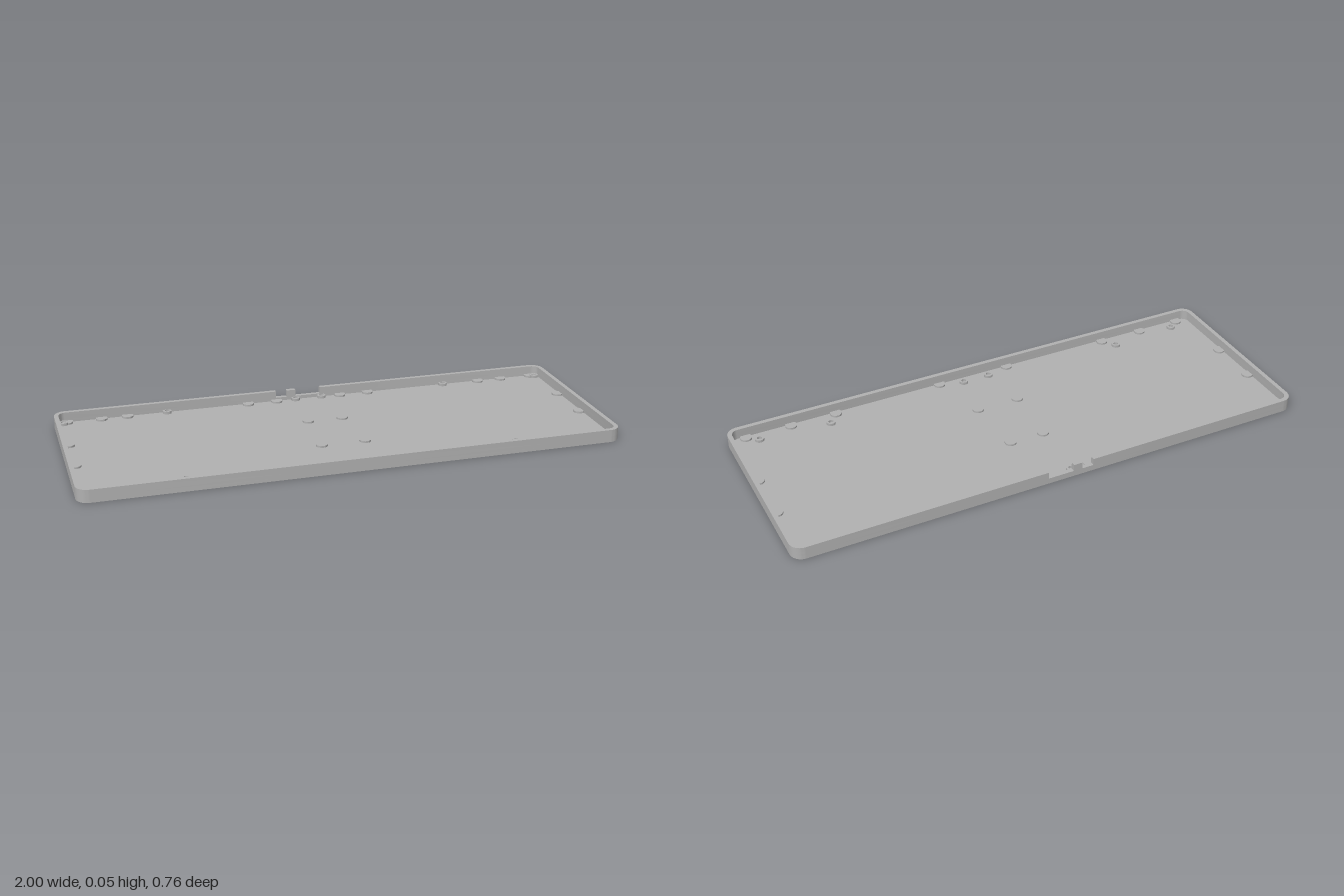
import * as THREE from 'three';
import { toCreasedNormals } from 'three/addons/utils/BufferGeometryUtils.js';

const W = 1, D = 0.38, H = 0.048;          // half width, half depth, height
const FLOOR = 0.009, SILL = 0.022;         // floor top, bottom of the back cutouts
const WALL = 0.017, RADIUS = 0.045;

// Rounded rectangle points, counter-clockwise, from the back edge at x = from to x = to
function outline(inset, from, to) {
  const r = RADIUS - inset, cx = W - RADIUS, cy = D - RADIUS;
  const points = [new THREE.Vector2(from, D - inset)];
  [[-cx, cy], [-cx, -cy], [cx, -cy], [cx, cy]].forEach(([x, y], corner) => {
    for (let i = 0; i <= 10; i++) {
      const a = (corner + 1 + i / 10) * Math.PI / 2;
      points.push(new THREE.Vector2(x + r * Math.cos(a), y + r * Math.sin(a)));
    }
  });
  // the last corner ends on the right side, so turn it towards the back edge
  const last = points.splice(-11);
  for (const p of last) points.push(p);
  points.push(new THREE.Vector2(to, D - inset));
  return points;
}

// Closed outline drawn with a plain Shape
function roundedRect(inset, Type) {
  return new Type(outline(inset, -0.1, 0.1));
}

export function createModel() {
  const group = new THREE.Group();
  const grey = new THREE.MeshStandardMaterial({ color: 0xb0b0b0 });

  function add(name, geometry) {
    const mesh = new THREE.Mesh(geometry, grey);
    mesh.name = name;
    group.add(mesh);
    return mesh;
  }

  // Extrude a plan shape upwards from y0 to y1
  function slab(name, shape, y0, y1, curveSegments = 12) {
    const g = new THREE.ExtrudeGeometry(shape, { depth: y1 - y0, bevelEnabled: false, curveSegments });
    g.rotateX(-Math.PI / 2).translate(0, y0, 0);
    return add(name, toCreasedNormals(g, 0.6));
  }

  // Tray floor and the continuous lower wall
  slab('floor', roundedRect(0, THREE.Shape), 0, FLOOR);
  const ring = roundedRect(0, THREE.Shape);
  ring.holes.push(roundedRect(WALL, THREE.Path));
  slab('lowerWall', ring, FLOOR, SILL);

  // Upper wall, open at the back for the port cutouts
  const open = [...outline(0, -0.13, 0.05), ...outline(WALL, -0.13, 0.05).reverse()];
  slab('upperWall', new THREE.Shape(open), SILL, H);

  // Tooth between the narrow and the wide cutout
  const tooth = add('cutoutTooth', new THREE.BoxGeometry(0.035, H - SILL, WALL));
  tooth.position.set(-0.068, (H + SILL) / 2, -D + WALL / 2);

  // Solid support pads, mirrored left and right: [x, z]
  const pads = [
    [0.95, -0.353], [0.82, -0.353], [0.72, -0.353], [0.245, -0.353], [0.13, -0.353],
    [0.97, -0.12], [0.97, 0.08], [0.067, -0.11], [0.083, 0.135],
    [0.145, 0.357], [0.577, 0.35], [0.755, 0.35], [0.93, 0.35],
  ];
  // Hollow screw posts, mirrored left and right
  const posts = [
    [0.965, -0.34], [0.567, -0.353], [0.053, -0.353],
    [0.053, 0.33], [0.615, 0.3], [0.888, 0.318],
  ];
  const padShape = new THREE.Shape().absarc(0, 0, 0.022, 0, Math.PI * 2);
  const postShape = new THREE.Shape().absarc(0, 0, 0.017, 0, Math.PI * 2);
  postShape.holes.push(new THREE.Path().absarc(0, 0, 0.009, 0, Math.PI * 2));

  for (const side of [-1, 1]) {
    for (const [x, z] of pads) {
      slab('supportPad', padShape, FLOOR, 0.016).position.set(side * x, 0, z);
    }
    for (const [x, z] of posts) {
      slab('screwPost', postShape, FLOOR, 0.019).position.set(side * x, 0, z);
    }
  }
  return group;
}
